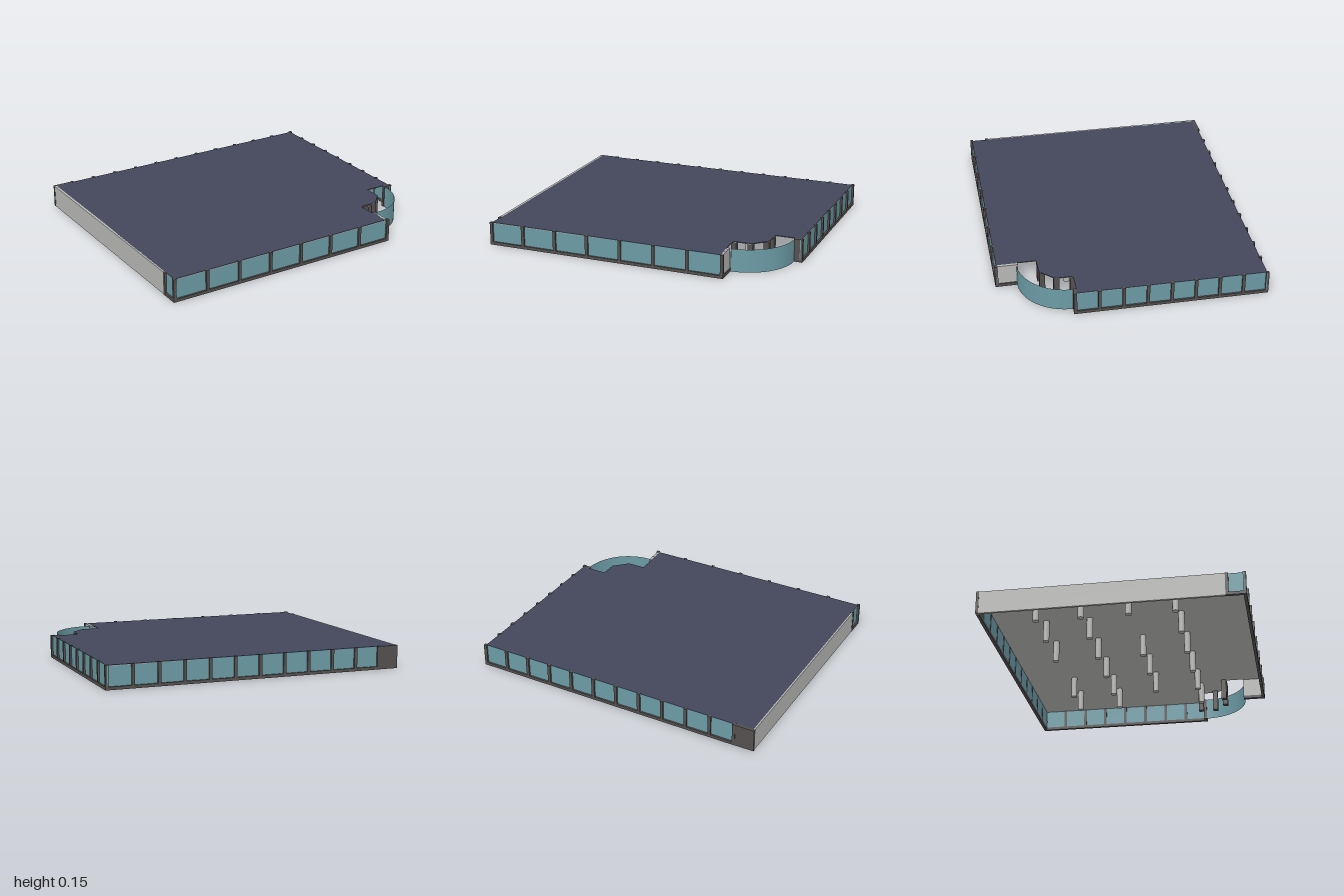
import * as THREE from 'three';

const H = 0.152;      // storey height
const RAIL = 0.02;    // base rail height
const mat = (name, color, side = THREE.FrontSide) => {
  const m = new THREE.MeshStandardMaterial({ color, side });
  m.name = name;
  return m;
};

export function createModel() {
  const root = new THREE.Group();
  root.name = 'officeFloor';
  const glass = mat('teal glass', 0x6c9ba5, THREE.DoubleSide);
  const frame = mat('dark frame', 0x555050);
  const concrete = mat('light concrete', 0xb8b8b6);
  const roofing = mat('navy roofing', 0x43475b);

  const box = (parent, name, material, x0, x1, y0, y1, z0, z1) => {
    const mesh = new THREE.Mesh(new THREE.BoxGeometry(x1 - x0, y1 - y0, z1 - z0), material);
    mesh.position.set((x0 + x1) / 2, (y0 + y1) / 2, (z0 + z1) / 2);
    mesh.name = name;
    parent.add(mesh);
  };

  // Glazed wall along local x, outer face at local z = 0
  const facade = (name, x, z, turn, from, to, panes) => {
    const g = new THREE.Group();
    g.name = name;
    g.position.set(x, 0, z);
    g.rotation.y = turn;
    box(g, 'glazing', glass, from, to, RAIL, H - 0.001, -0.018, -0.012);
    box(g, 'baseRail', frame, from, to, 0, RAIL, -0.02, 0);
    for (let i = 0; i <= panes; i++) {
      const c = from + 0.01 + (to - from - 0.02) * i / panes;
      box(g, 'mullion', frame, c - 0.01, c + 0.01, 0, H + 0.002, -0.02, 0);
    }
    root.add(g);
    return g;
  };

  facade('frontFacade', 0, 0.85, 0, -1, 0.63, 7);
  facade('rightFacade', 1, 0, Math.PI / 2, -0.4, 0.85, 8);
  const back = facade('backFacade', 0, -0.85, Math.PI, -1, 0.872, 11);
  box(back, 'solidPanel', frame, 0.872, 1, 0, H, -0.02, -0.002);
  facade('leftCornerGlazing', -1, 0, -Math.PI / 2, 0.72, 0.85, 1);

  // Solid left wall
  box(root, 'leftWall', concrete, -0.998, -0.982, 0, H, -0.845, 0.72);

  // Returns beside the curved corner
  box(root, 'frontReturnWall', concrete, 0.605, 0.622, RAIL, H, 0.70, 0.83);
  box(root, 'frontReturnRail', frame, 0.605, 0.63, 0, RAIL, 0.70, 0.85);
  box(root, 'rightReturnWall', frame, 0.94, 0.98, 0, H, 0.378, 0.398);

  // Curved corner glass, a quarter cylinder
  const curve = new THREE.Mesh(
    new THREE.CylinderGeometry(0.315, 0.315, H, 32, 1, true, 0, Math.PI / 2), glass);
  curve.position.set(0.63, H / 2, 0.395);
  curve.name = 'curvedGlass';
  root.add(curve);

  // Roof with a stepped notch at the corner, navy above and concrete below
  const outline = [[-0.988, -0.838], [0.988, -0.838], [0.988, 0.38], [0.94, 0.38], [0.94, 0.375],
    [0.81, 0.375], [0.81, 0.49], [0.72, 0.58], [0.6, 0.58], [0.6, 0.70], [0.618, 0.70],
    [0.618, 0.838], [-0.988, 0.838]];
  const shape = new THREE.Shape(outline.map(([x, z]) => new THREE.Vector2(x, -z)));
  const slab = (name, material, y, depth) => {
    const geo = new THREE.ExtrudeGeometry(shape, { depth, bevelEnabled: false });
    geo.rotateX(-Math.PI / 2);
    const mesh = new THREE.Mesh(geo, material);
    mesh.position.y = y;
    mesh.name = name;
    root.add(mesh);
  };
  slab('ceiling', concrete, H - 0.006, 0.003);
  slab('roof', roofing, H - 0.003, 0.003);

  // Entrance posts under the notch edge
  for (const [x, z] of [[0.60, 0.56], [0.71, 0.56], [0.79, 0.48], [0.79, 0.375]]) {
    box(root, 'entrancePost', frame, x - 0.018, x + 0.018, 0, H - 0.006, z - 0.018, z + 0.018);
  }

  // Interior columns, leaving out a few bays
  const columnGeo = new THREE.CylinderGeometry(0.021, 0.021, H - 0.006, 12);
  const skip = ['2,0', '0,2', '4,2'];
  [0.635, 0.39, 0.085, -0.22, -0.53, -0.83].forEach((x, i) => {
    [-0.5, -0.21, 0.095, 0.393].forEach((z, j) => {
      if (skip.includes(`${i},${j}`)) return;
      const column = new THREE.Mesh(columnGeo, concrete);
      column.position.set(x, (H - 0.006) / 2, z);
      column.name = 'column';
      root.add(column);
    });
  });
  return root;
}
